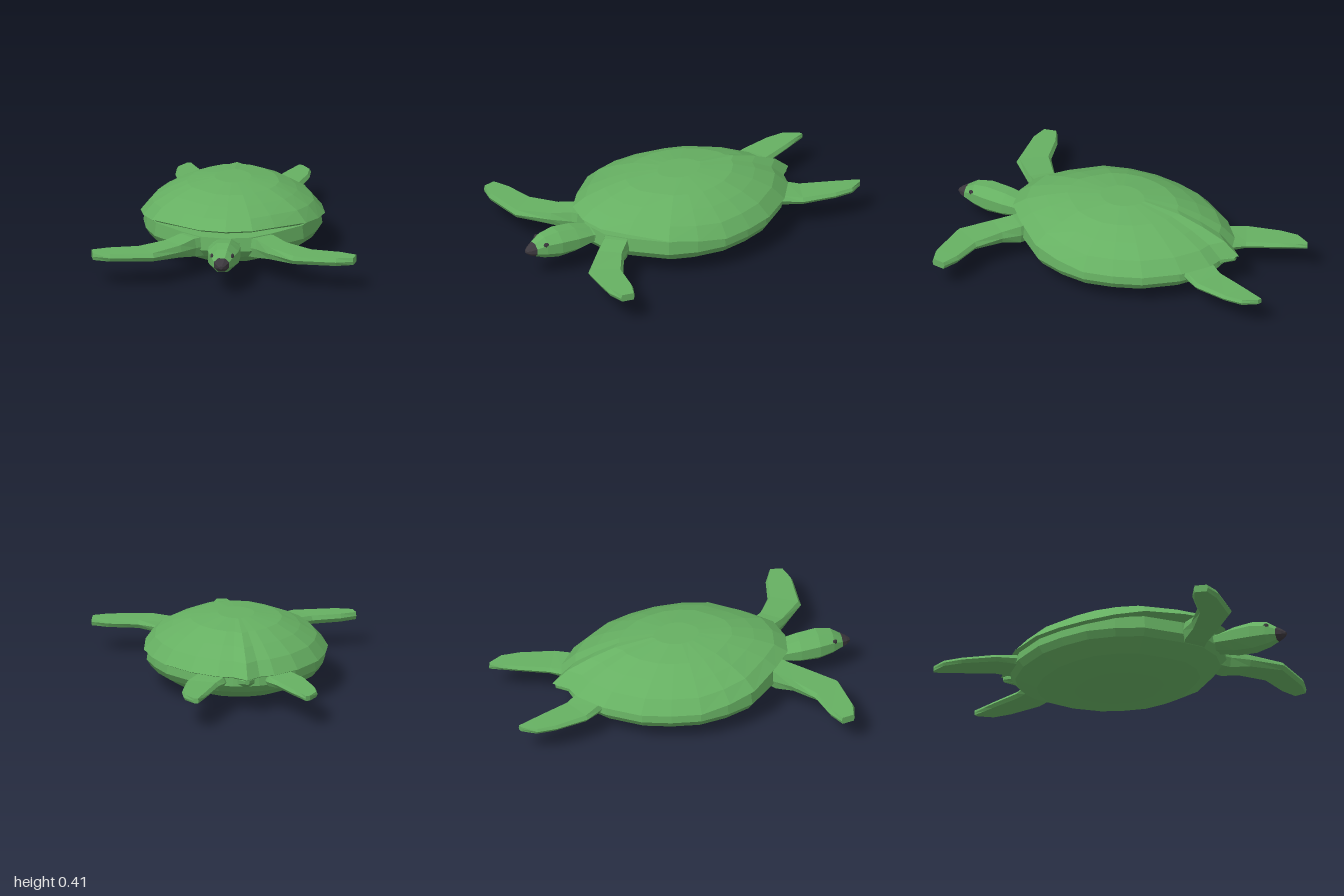
import * as THREE from 'three';

const skin = new THREE.MeshStandardMaterial({ color: 0x66b062, flatShading: true });
skin.name = 'turtle green';
const dark = new THREE.MeshStandardMaterial({ color: 0x3c383e, flatShading: true });
dark.name = 'beak charcoal';

// Skins a row of closed rings (counter-clockwise about the direction of travel) and caps both ends.
function loft(name, rings, material) {
  const pos = [];
  const tri = (...pts) => pts.forEach((p) => pos.push(p.x, p.y, p.z));
  const n = rings[0].length;
  const centre = (ring) => ring.reduce((s, p) => s.add(p), new THREE.Vector3()).divideScalar(n);
  const first = rings[0], last = rings[rings.length - 1];
  const c0 = centre(first), c1 = centre(last);
  for (let j = 0; j < n; j++) {
    const k = (j + 1) % n;
    for (let i = 0; i < rings.length - 1; i++) {
      const [a, b, c, d] = [rings[i][j], rings[i][k], rings[i + 1][k], rings[i + 1][j]];
      tri(a, b, c);
      tri(a, c, d);
    }
    tri(c0, first[k], first[j]);
    tri(c1, last[j], last[k]);
  }
  const geo = new THREE.BufferGeometry();
  geo.setAttribute('position', new THREE.Float32BufferAttribute(pos, 3));
  geo.computeVertexNormals();
  const mesh = new THREE.Mesh(geo, material);
  mesh.name = name;
  return mesh;
}

// Plan outline from front to back on the left half, mirrored to a full loop
function outline(tail) {
  const half = [[0.15, 0.6], [0.27, 0.5], [0.43, 0.33], [0.49, 0.17], [0.515, 0], [0.485, -0.17],
    [0.43, -0.33], [0.3, -0.51], [0.16, -0.62], [0.075, -0.645]];
  return [[0, 0.63], ...half, [0, tail], ...half.map(([x, z]) => [-x, z]).reverse()];
}

// Domed upper shell, rim rising towards the neck
function makeShell() {
  const rim = (z) => 0.207 + 0.064 * THREE.MathUtils.clamp(z / 0.55, 0, 1);
  const steps = [[1, 0], [0.88, 0.36], [0.7, 0.64], [0.5, 0.87], [0.2, 1]];
  const plan = outline(-0.72);
  const rings = steps.map(([s, f]) => plan.map(([x, z]) =>
    new THREE.Vector3(x * s, THREE.MathUtils.lerp(rim(z), 0.41, f), z * s)));
  rings.unshift(plan.map(([x, z]) => new THREE.Vector3(x * 0.9, rim(z) - 0.025, z * 0.9)));
  return loft('upperShell', rings, skin);
}

// Rounded belly under the shell
function makeBelly() {
  const steps = [[0.1, 0.005], [0.4, 0.015], [0.73, 0.05], [0.92, 0.11], [0.97, 0.15], [0.95, 0.225]];
  return loft('belly', steps.map(([s, y]) =>
    outline(-0.655).map(([x, z]) => new THREE.Vector3(x * s, y, z * s))), skin);
}

// Eight-sided sections along z: [z, half width, bottom, top]
function tube(name, sections, material) {
  return loft(name, sections.map(([z, w, lo, hi]) => Array.from({ length: 8 }, (_, i) => {
    const a = (i + 0.5) * Math.PI / 4, k = 1 / Math.cos(Math.PI / 8);
    return new THREE.Vector3(w * k * Math.cos(a), (lo + hi) / 2 + (hi - lo) / 2 * k * Math.sin(a), z);
  })), material);
}

// Flat bevelled flipper; stations: [edge A x, z, edge B x, z, bottom, top]
function flipper(name, stations, side) {
  const rings = stations.map(([ax, az, bx, bz, lo, hi]) => {
    const at = (t, y) => new THREE.Vector3(side * (ax + (bx - ax) * t), y, az + (bz - az) * t);
    const mid = (lo + hi) / 2;
    const ring = [at(0, mid), at(0.08, hi), at(0.92, hi), at(1, mid), at(0.92, lo), at(0.08, lo)];
    return side > 0 ? ring : ring.reverse();
  });
  return loft(name, rings, skin);
}

export function createModel() {
  const turtle = new THREE.Group();
  turtle.name = 'turtle';
  turtle.add(makeShell(), makeBelly());

  // Neck, head and beak
  turtle.add(tube('head', [[0.45, 0.08, 0.13, 0.22], [0.6, 0.075, 0.13, 0.225], [0.7, 0.088, 0.108, 0.25],
    [0.81, 0.086, 0.104, 0.262], [0.895, 0.066, 0.12, 0.25], [0.95, 0.042, 0.14, 0.215]], skin));
  turtle.add(tube('beak', [[0.95, 0.043, 0.139, 0.216], [0.98, 0.027, 0.15, 0.198],
    [1, 0.01, 0.165, 0.182]], dark));

  // Short tail tucked under the shell
  turtle.add(tube('tail', [[-0.7, 0.012, 0.175, 0.205], [-0.62, 0.05, 0.145, 0.205],
    [-0.5, 0.07, 0.12, 0.21]], skin));

  const front = [
    [0.15, 0.42, 0.08, 0.54, 0.11, 0.22],
    [0.27, 0.49, 0.165, 0.6, 0.115, 0.22],
    [0.345, 0.57, 0.24, 0.69, 0.135, 0.205],
    [0.49, 0.665, 0.385, 0.83, 0.15, 0.197],
    [0.65, 0.7, 0.63, 0.85, 0.15, 0.195],
    [0.74, 0.745, 0.725, 0.825, 0.152, 0.193],
  ];
  const rear = [
    [0.08, -0.52, 0.22, -0.43, 0.14, 0.205],
    [0.115, -0.63, 0.275, -0.52, 0.145, 0.2],
    [0.16, -0.69, 0.335, -0.61, 0.15, 0.19],
    [0.235, -0.87, 0.375, -0.8, 0.153, 0.187],
    [0.265, -0.93, 0.375, -0.91, 0.154, 0.186],
    [0.3, -1, 0.325, -0.99, 0.156, 0.184],
  ];
  for (const side of [1, -1]) {
    const label = side > 0 ? 'left' : 'right';
    turtle.add(flipper(label + 'FrontFlipper', front, side));
    turtle.add(flipper(label + 'RearFlipper', rear, side));
    const eye = new THREE.Mesh(new THREE.SphereGeometry(0.016, 8, 6), dark);
    eye.name = label + 'Eye';
    eye.scale.set(0.5, 1, 1);
    eye.position.set(side * 0.057, 0.213, 0.9);
    eye.rotation.y = -side * 0.35;
    turtle.add(eye);
  }
  return turtle;
}
